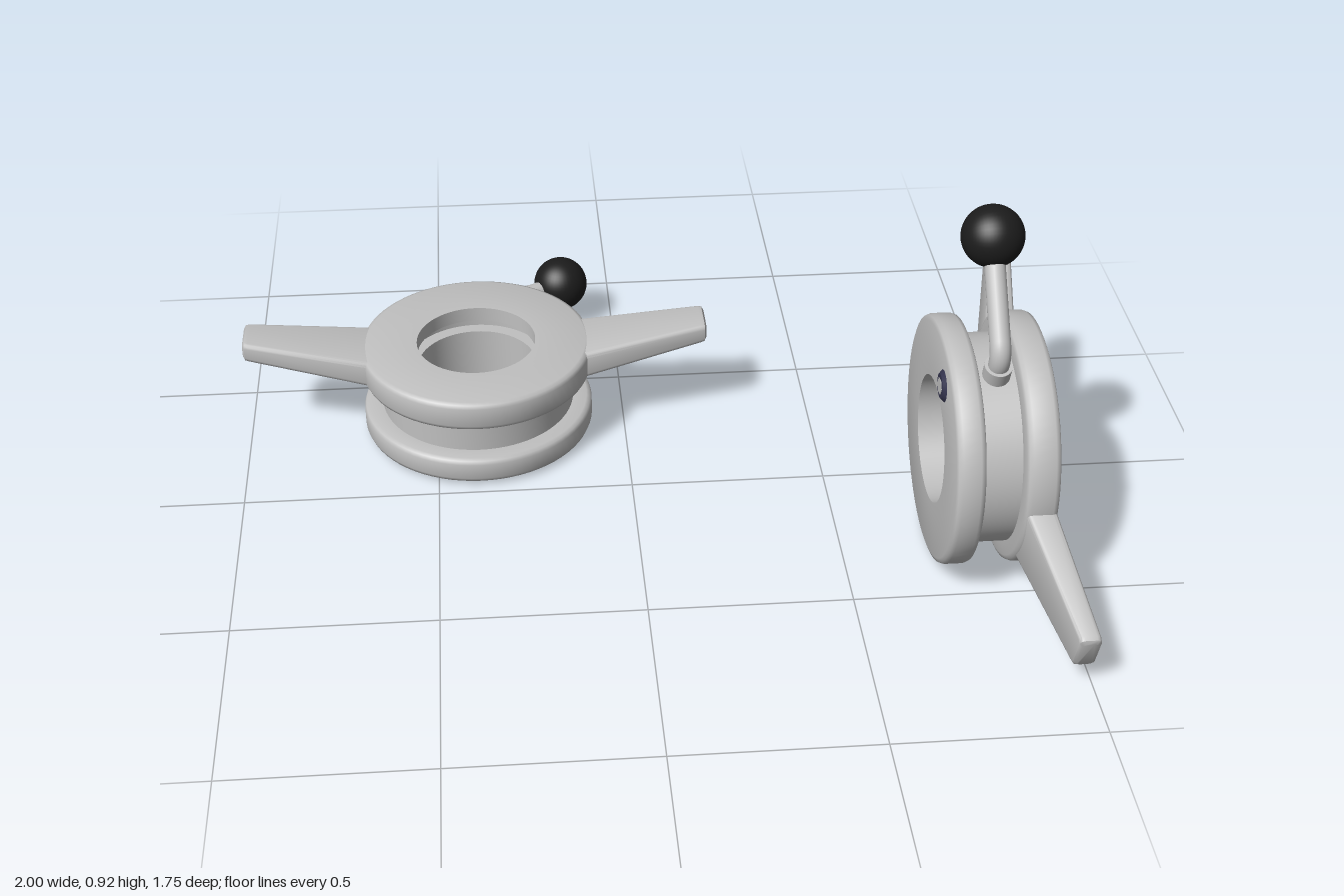
import * as THREE from 'three';
import { toCreasedNormals } from 'three/addons/utils/BufferGeometryUtils.js';

const steel = new THREE.MeshStandardMaterial({ name: 'steel', color: 0xc0c0c0 });
const black = new THREE.MeshStandardMaterial({ name: 'blackKnob', color: 0x1c1c1c });
const darkBlue = new THREE.MeshStandardMaterial({ name: 'darkScrew', color: 0x34344e });

function add(parent, name, geometry, material) {
  const mesh = new THREE.Mesh(geometry, material);
  mesh.name = name;
  parent.add(mesh);
  return mesh;
}

// closed ring body: two flanges, a waist and an undercut bore
function ringGeometry() {
  const R = 0.305, f = 0.014, e = 0.004;
  const profile = [
    [0.157, 0.01], [R - f, 0.01], [R - e, 0.01 + e], [R, 0.01 + f],
    [R, 0.08 - f], [R - e, 0.08 - e], [R - f, 0.08],
    [0.255, 0.08], [0.255, 0.175],
    [R - f, 0.175], [R - e, 0.175 + e], [R, 0.175 + f],
    [R, 0.255 - f], [R - e, 0.255 - e], [R - f, 0.255],
    [0.157, 0.255], [0.157, 0.215], [0.19, 0.215], [0.19, 0.18], [0.157, 0.18], [0.157, 0.01],
  ].map(([r, y]) => new THREE.Vector2(r, y));
  return toCreasedNormals(new THREE.LatheGeometry(profile, 72), 0.9);
}

// tapered wing lofted through rounded rectangles [x, half width, bottom, top]
function wingGeometry() {
  const sections = [
    [0.24, 0.098, 0.178, 0.247], [0.285, 0.093, 0.18, 0.253],
    [0.594, 0.057, 0.249, 0.302], [0.604, 0.054, 0.251, 0.302], [0.609, 0.046, 0.257, 0.296],
  ];
  const positions = [], indices = [], steps = 4, n = 4 * steps, r = 0.012;
  for (const [x, w, bottom, top] of sections) {
    for (let c = 0; c < 4; c++) {
      const sz = c === 0 || c === 3 ? 1 : -1, sy = c < 2 ? 1 : -1;
      for (let k = 0; k < steps; k++) {
        const a = (c + k / (steps - 1)) * Math.PI / 2;
        positions.push(x,
          (sy > 0 ? top - r : bottom + r) + r * Math.sin(a),
          sz * (w - r) + r * Math.cos(a));
      }
    }
  }
  for (let s = 0; s < sections.length - 1; s++) {
    for (let i = 0; i < n; i++) {
      const a = s * n + i, b = s * n + (i + 1) % n;
      indices.push(a, a + n, b, b, a + n, b + n);
    }
  }
  // tip cap
  const last = (sections.length - 1) * n;
  for (let i = 1; i < n - 1; i++) indices.push(last, last + i + 1, last + i);
  // keep the winding outward
  for (let i = 0; i < indices.length; i += 3) {
    [indices[i + 1], indices[i + 2]] = [indices[i + 2], indices[i + 1]];
  }
  const g = new THREE.BufferGeometry();
  g.setAttribute('position', new THREE.Float32BufferAttribute(positions, 3));
  g.setIndex(indices);
  return orientOutward(g);
}

// flips the faces when the enclosed volume comes out negative
function orientOutward(g) {
  const p = g.attributes.position, idx = g.index.array;
  const centre = new THREE.Vector3(0.42, 0.24, 0);
  const v = () => new THREE.Vector3();
  const a = v(), b = v(), c = v();
  let volume = 0;
  for (let i = 0; i < idx.length; i += 3) {
    a.fromBufferAttribute(p, idx[i]).sub(centre);
    b.fromBufferAttribute(p, idx[i + 1]).sub(centre);
    c.fromBufferAttribute(p, idx[i + 2]).sub(centre);
    volume += a.dot(b.cross(c));
  }
  if (volume < 0) {
    for (let i = 0; i < idx.length; i += 3) {
      [idx[i + 1], idx[i + 2]] = [idx[i + 2], idx[i + 1]];
    }
  }
  return toCreasedNormals(g, 0.7);
}

// one winged lock nut, axis along y
function createNut(name) {
  const nut = new THREE.Group();
  nut.name = name;
  add(nut, 'ringBody', ringGeometry(), steel);

  const wing = wingGeometry();
  add(nut, 'leftWing', wing, steel);
  add(nut, 'rightWing', wing, steel).rotation.y = Math.PI;

  // bent lever with collar and ball knob
  const collar = add(nut, 'leverCollar', new THREE.CylinderGeometry(0.033, 0.033, 0.06, 32), steel);
  collar.rotation.x = Math.PI / 2;
  collar.position.set(0, 0.13, -0.262);
  const V = (x, z) => new THREE.Vector3(x, 0.13, z);
  const path = new THREE.CurvePath();
  path.add(new THREE.LineCurve3(V(0, -0.24), V(0, -0.295)));
  path.add(new THREE.QuadraticBezierCurve3(V(0, -0.295), V(0, -0.328), V(0.03, -0.344)));
  path.add(new THREE.LineCurve3(V(0.03, -0.344), V(0.225, -0.458)));
  add(nut, 'lever', new THREE.TubeGeometry(path, 48, 0.025, 20, false), steel);
  add(nut, 'ballKnob', new THREE.SphereGeometry(0.075, 40, 28), black).position.set(0.245, 0.13, -0.47);

  // socket screw on the underside
  const screw = add(nut, 'screwHead', new THREE.CylinderGeometry(0.043, 0.03, 0.012, 32), darkBlue);
  screw.position.set(0, 0.0075, -0.22);
  const socket = add(nut, 'screwSocket', new THREE.CylinderGeometry(0.021, 0.021, 0.004, 6), steel);
  socket.position.set(0, 0.002, -0.22);
  return nut;
}

export function createModel() {
  const model = new THREE.Group();
  model.name = 'wingedLockNuts';

  const flat = createNut('flatNut');
  flat.position.set(-0.39, 0, -0.33);

  // second nut stands on its rim, turned 20 degrees about its axis
  const upright = createNut('uprightNut');
  const t = THREE.MathUtils.degToRad(20), s = Math.sin(t), c = Math.cos(t);
  upright.quaternion.setFromRotationMatrix(new THREE.Matrix4().makeBasis(
    new THREE.Vector3(0, s, -c), new THREE.Vector3(1, 0, 0), new THREE.Vector3(0, -c, -s)));
  upright.position.set(0.697, 0.315, 0.285);

  model.add(flat, upright);
  return model;
}
